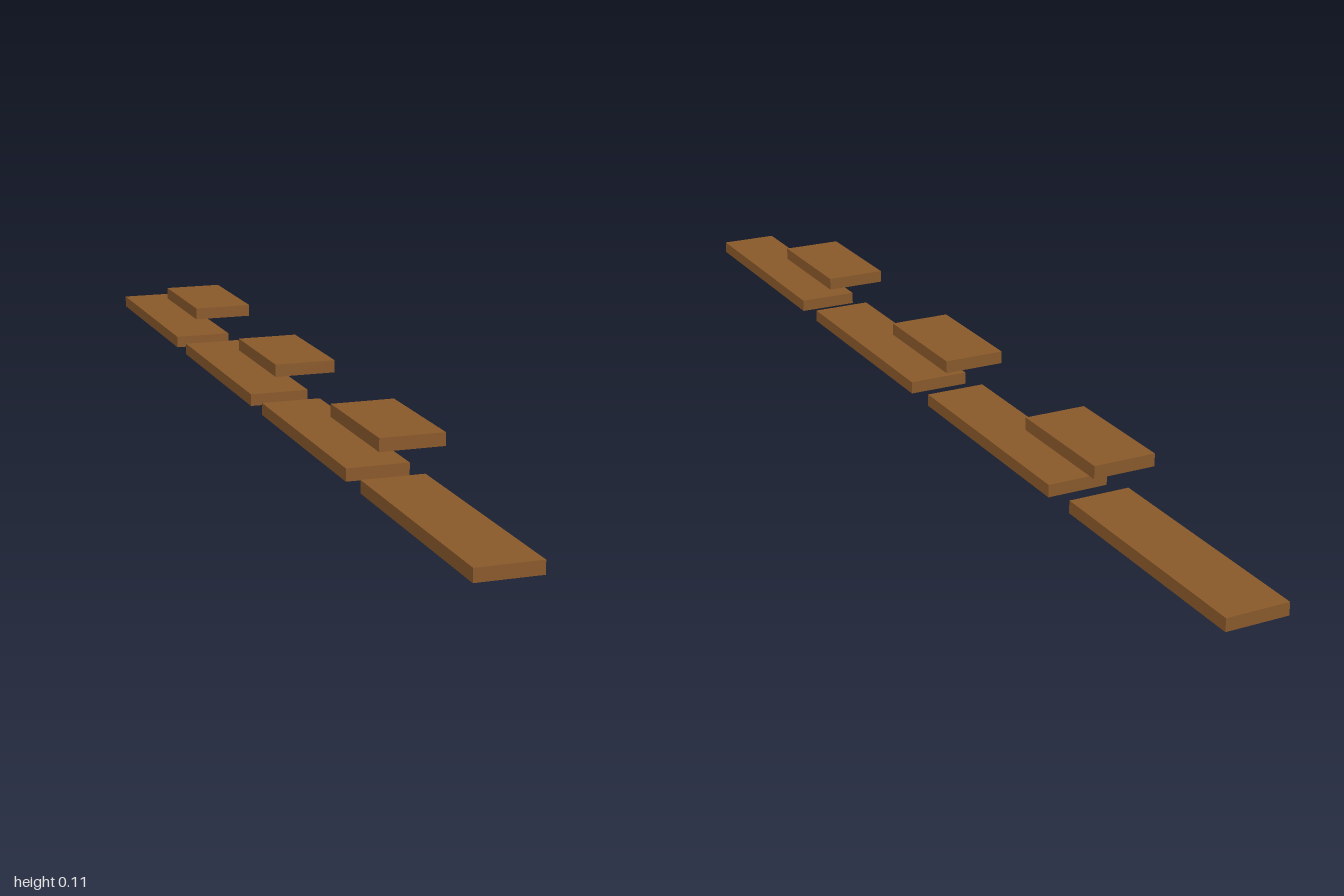
import * as THREE from 'three';

export function createModel() {
  const group = new THREE.Group();
  const wood = new THREE.MeshStandardMaterial({ color: 0x8b5a2b });
  const width = 0.112, thick = 0.0225, pitch = 0.517;

  const addPlank = (name, length, bottom, z) => {
    const plank = new THREE.Mesh(new THREE.BoxGeometry(width, thick, length), wood);
    plank.name = name;
    plank.position.set(0, bottom + thick / 2, z);
    group.add(plank);
  };

  // Row of four long planks on the ground
  for (let i = 0; i < 4; i++) addPlank(`lowerPlank${i + 1}`, 0.449, 0, (1.5 - i) * pitch);

  // Three short planks floating above the gaps
  for (let i = 0; i < 3; i++) addPlank(`upperPlank${i + 1}`, 0.224, 0.0905, (1 - i) * pitch + 0.003);

  return group;
}
